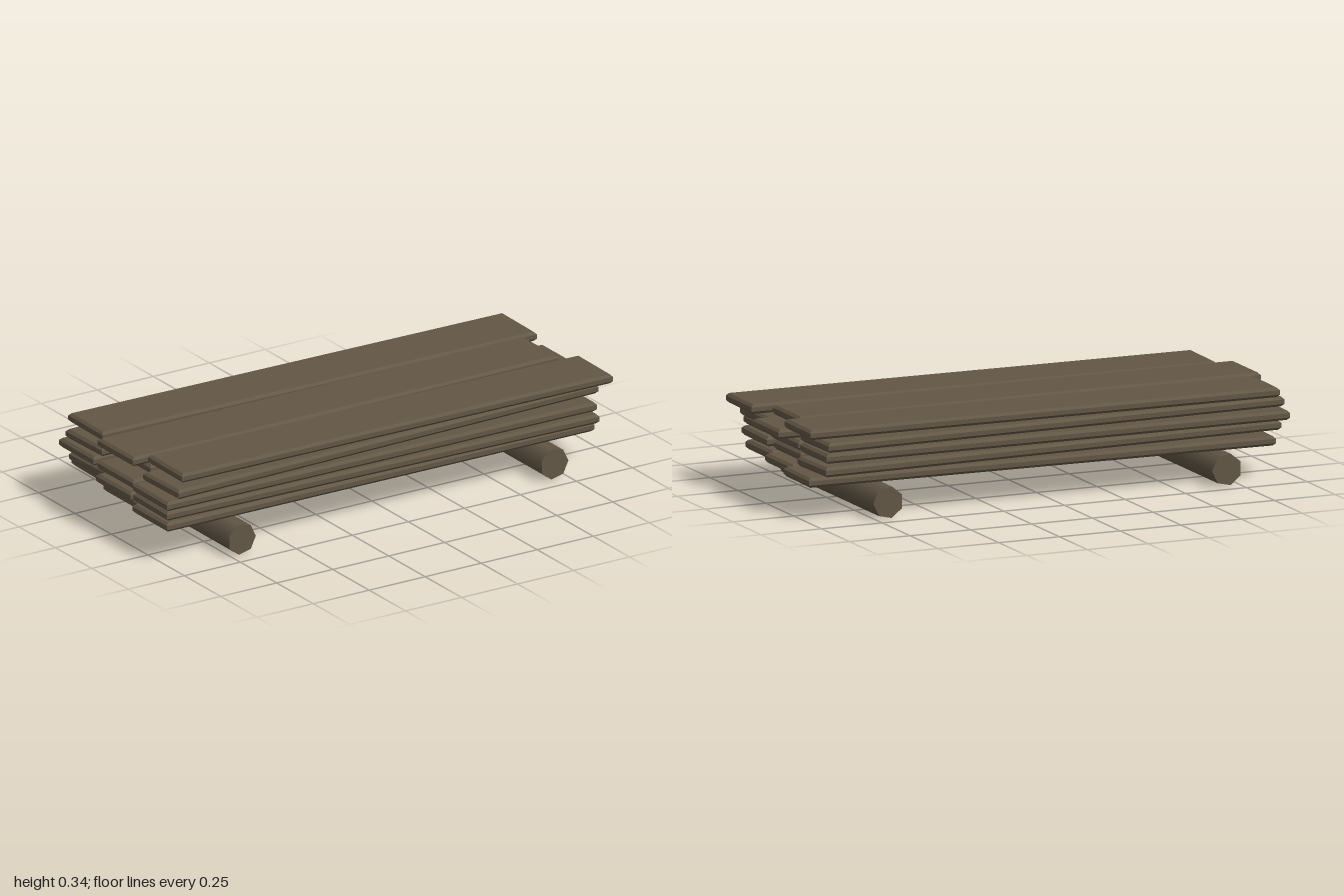
import * as THREE from 'three';

const wood = new THREE.MeshStandardMaterial({ color: 0x635746 });
wood.name = 'weatheredWood';

const THICK = 0.037, BEVEL = 0.01;

// Plank with chamfered edges, lying along x
function plankGeometry(length, width) {
  const l = length / 2 - BEVEL, w = width / 2 - BEVEL;
  const shape = new THREE.Shape([
    new THREE.Vector2(-l, -w), new THREE.Vector2(l, -w),
    new THREE.Vector2(l, w), new THREE.Vector2(-l, w),
  ]);
  const depth = THICK - 2 * BEVEL;
  const geo = new THREE.ExtrudeGeometry(shape, {
    depth, bevelEnabled: true, bevelThickness: BEVEL, bevelSize: BEVEL, bevelSegments: 1,
  });
  geo.translate(0, 0, -depth / 2);
  geo.rotateX(-Math.PI / 2);
  return geo;
}

// Layers from bottom to top; each plank: [left-end x, right-end x, z at -x end, z at +x end, width]
const layers = [
  { y: 0.145, planks: [
    [-0.99, 0.91, 0.247, 0.26, 0.24], [-0.96, 0.945, 0.005, 0.005, 0.24], [-0.92, 0.985, -0.28, -0.24, 0.24]] },
  { y: 0.191, planks: [
    [-0.99, 0.91, 0.25, 0.30, 0.24], [-1.0, 0.905, 0.012, 0.012, 0.237], [-0.96, 0.945, -0.228, -0.292, 0.24]] },
  { y: 0.236, planks: [
    [-1.0, 0.905, 0.265, 0.287, 0.24], [-0.985, 0.92, 0.004, 0.004, 0.245], [-0.98, 0.925, -0.273, -0.264, 0.24]] },
  { y: 0.282, planks: [
    [-0.965, 0.94, 0.285, 0.238, 0.235], [-0.91, 0.995, 0.012, 0.012, 0.235], [-0.97, 0.93, -0.237, -0.285, 0.24]] },
  { y: 0.327, planks: [
    [-0.92, 0.985, 0.245, 0.275, 0.24], [-0.985, 0.915, 0.004, 0.004, 0.242], [-0.94, 0.98, -0.272, -0.24, 0.24]] },
];

export function createModel() {
  const model = new THREE.Group();
  model.name = 'plankStack';

  // Two seven-sided logs carry the stack
  const logGeo = new THREE.CylinderGeometry(0.062, 0.062, 0.87, 7, 1, false, Math.PI / 2);
  logGeo.rotateX(Math.PI / 2);
  for (const [name, x] of [['rightLog', -0.7], ['leftLog', 0.695]]) {
    const log = new THREE.Mesh(logGeo, wood);
    log.name = name;
    log.position.set(x, 0.0615, 0);
    model.add(log);
  }

  // Loosely stacked planks, each slightly turned
  const rows = ['front', 'middle', 'back'];
  layers.forEach(({ y, planks }, i) => {
    const layer = new THREE.Group();
    layer.name = `layer${i + 1}`;
    planks.forEach(([x0, x1, z0, z1, width], j) => {
      const plank = new THREE.Mesh(plankGeometry(x1 - x0, width), wood);
      plank.name = `${rows[j]}Plank`;
      plank.position.set((x0 + x1) / 2, y, (z0 + z1) / 2);
      plank.rotation.y = -Math.atan2(z1 - z0, x1 - x0);
      layer.add(plank);
    });
    model.add(layer);
  });
  return model;
}
